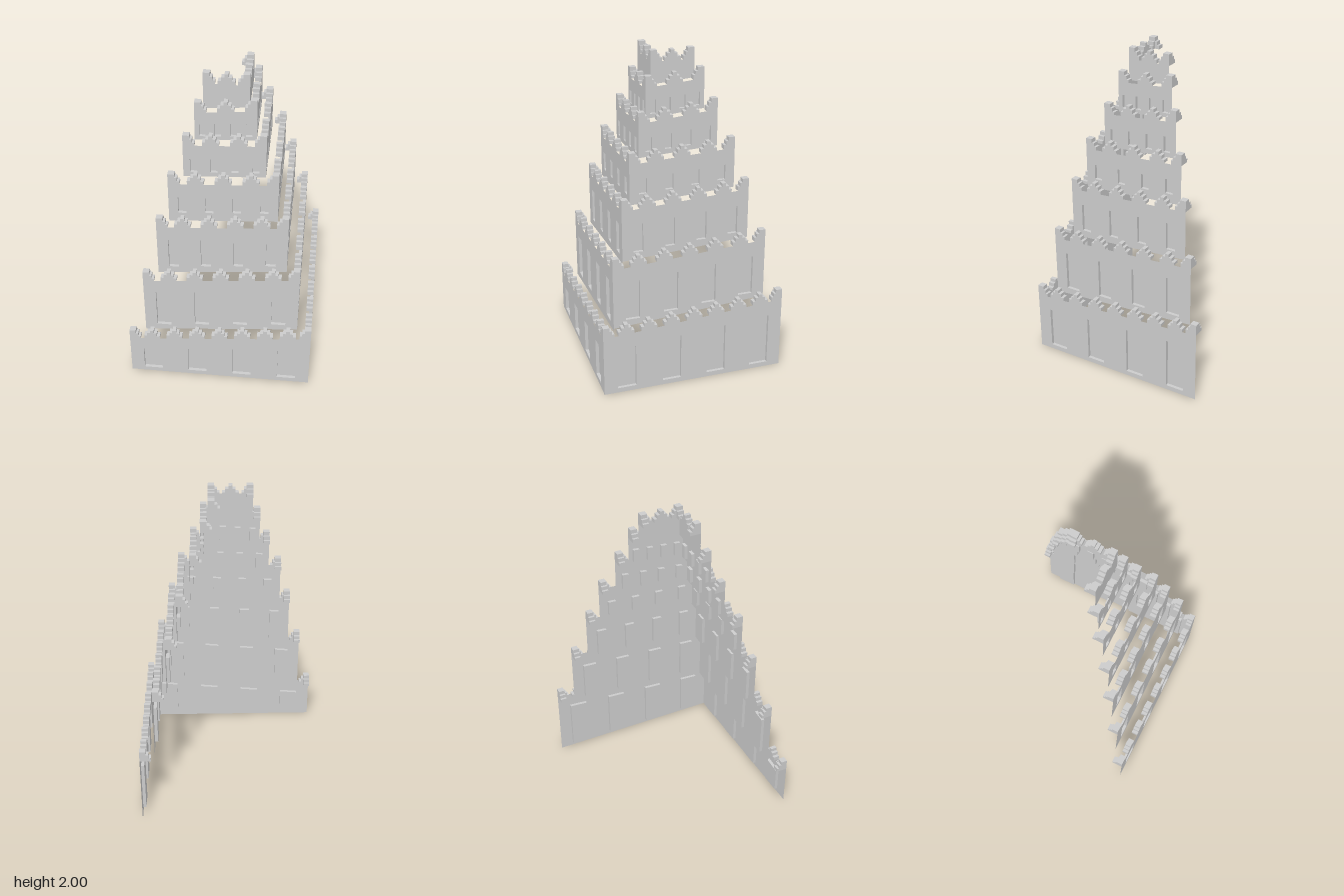
import * as THREE from 'three';

const material = new THREE.MeshStandardMaterial({ color: 0xcccccc, side: THREE.DoubleSide });
const THICK = 0.04; // depth of the battlements
const RECESS = 0.02; // depth of the windows

// half: half width; left, corner, end: wall top at the three corners as the ramp climbs
// win: window width; sill: gap below the windows; head: gap above them; merlons: count between corners
const TIERS = [
  { half: 0.575, left: 0.28, corner: 0.39, end: 0.468, win: 0.118, sill: 0.03, head: 0.095, merlons: 7 },
  { half: 0.485, left: 0.70, corner: 0.79, end: 0.85, win: 0.09, sill: 0.04, head: 0.097, merlons: 5 },
  { half: 0.40, left: 1.065, corner: 1.12, end: 1.165, win: 0.062, sill: 0.045, head: 0.098, merlons: 4 },
  { half: 0.33, left: 1.345, corner: 1.38, end: 1.415, win: 0.05, sill: 0.06, head: 0.1, merlons: 3 },
  { half: 0.247, left: 1.57, corner: 1.595, end: 1.64, win: 0.042, sill: 0.03, head: 0.095, merlons: 2 },
  { half: 0.183, left: 1.76, corner: 1.79, end: 1.82, win: 0.038, sill: 0.025, head: 0.08, merlons: 1 },
  { half: 0.136, left: 1.93, corner: 1.93, end: 1.93, win: 0, sill: 0, head: 0, merlons: 1 },
];

const toShape = (pts) => new THREE.Shape(pts.map(([x, y]) => new THREE.Vector2(x, y)));

function addMesh(parent, geometry, name) {
  const mesh = new THREE.Mesh(geometry, material);
  mesh.name = name;
  parent.add(mesh);
}

// Solid battlement with its outer face on the wall plane
function addBattlement(parent, pts, half, name) {
  const geo = new THREE.ExtrudeGeometry(toShape(pts), { depth: THICK, bevelEnabled: false });
  geo.translate(0, 0, half - THICK);
  addMesh(parent, geo, name);
}

// Stepped merlon standing on the sloping wall top
function addMerlon(parent, x, line, half) {
  const y = line(x);
  const steps = [[0.05, 0.022], [0.031, 0.045], [0.012, 0.066]];
  const up = [];
  const down = [];
  let previous = null;
  for (const [w, h] of steps) {
    const low = previous;
    up.push([x - w, low === null ? line(x - w) : y + low], [x - w, y + h]);
    down.unshift([x + w, y + h], [x + w, low === null ? line(x + w) : y + low]);
    previous = h;
  }
  addBattlement(parent, [...up, ...down], half, 'merlon');
}

// Half merlon stepping down from a corner; the return omits the shared corner block
function addCorner(parent, side, line, half, isReturn) {
  const y = line(side * half);
  const at = (d, h) => [side * (half - d), h === 0 ? line(side * (half - d)) : y + h];
  const pts = isReturn
    ? [at(0.04, 0), at(0.04, 0.046)]
    : [at(0, 0), at(0, 0.07), at(0.04, 0.07), at(0.04, 0.046)];
  pts.push(at(0.055, 0.046), at(0.055, 0.023), at(0.07, 0.023), at(0.07, 0));
  addBattlement(parent, pts, half, 'cornerMerlon');
}

// Open box behind a window hole: four reveals and a back panel
function recessGeometry(corners, z) {
  const pos = [];
  const quad = (a, b, c, d) => pos.push(...a, ...b, ...c, ...a, ...c, ...d);
  const front = corners.map(([x, y]) => [x, y, z]);
  const back = corners.map(([x, y]) => [x, y, z - RECESS]);
  for (let i = 0; i < 4; i++) {
    const j = (i + 1) % 4;
    quad(front[i], back[i], back[j], front[j]);
  }
  quad(...back);
  const geo = new THREE.BufferGeometry();
  geo.setAttribute('position', new THREE.Float32BufferAttribute(pos, 3));
  geo.computeVertexNormals();
  return geo;
}

// One sloping wall, facing +z, with recessed windows and battlements
function makeWall(tier, top, bottom, name, firstIsReturn) {
  const wall = new THREE.Group();
  wall.name = name;
  const h = tier.half;
  const shape = toShape([[-h, bottom(-h)], [h, bottom(h)], [h, top(h)], [-h, top(-h)]]);

  if (tier.win > 0) {
    for (let i = 0; i < 4; i++) {
      const x = h * (-0.75 + 0.5 * i);
      const x0 = x - tier.win / 2;
      const x1 = x + tier.win / 2;
      const sill = bottom(x) + tier.sill;
      const corners = [[x0, sill], [x1, sill], [x1, top(x1) - tier.head], [x0, top(x0) - tier.head]];
      shape.holes.push(new THREE.Path(corners.map(([a, b]) => new THREE.Vector2(a, b))));
      addMesh(wall, recessGeometry(corners, h), 'windowRecess');
    }
  }

  const face = new THREE.ShapeGeometry(shape);
  face.translate(0, 0, h);
  addMesh(wall, face, 'wallFace');

  const gap = (2 * h) / (tier.merlons + 1);
  for (let i = 1; i <= tier.merlons; i++) addMerlon(wall, -h + gap * i, top, h);
  addCorner(wall, -1, top, h, firstIsReturn);
  addCorner(wall, 1, top, h, false);
  return wall;
}

// Short battlement return at an open wall end
function makeReturn(tier, side, y, angle) {
  const group = new THREE.Group();
  group.name = 'battlementReturn';
  addCorner(group, side, () => y, tier.half, true);
  group.rotation.y = angle;
  return group;
}

export function createModel() {
  const model = new THREE.Group();
  model.name = 'spiralTower';
  // Each tier starts on the ramp line of the tier below
  let frontBase = () => 0;
  let sideBase = () => 0;

  TIERS.forEach((tier, i) => {
    const group = new THREE.Group();
    group.name = `tier${i + 1}`;
    const slope = (a, b) => (x) => a + ((b - a) * (x + tier.half)) / (2 * tier.half);
    const frontTop = slope(tier.left, tier.corner);
    const sideTop = slope(tier.corner, tier.end);

    const front = makeWall(tier, frontTop, frontBase, 'frontWall', false);
    const side = makeWall(tier, sideTop, sideBase, 'leftWall', true);
    side.rotation.y = Math.PI / 2;
    group.add(front, side);
    group.add(makeReturn(tier, 1, tier.left, -Math.PI / 2));
    group.add(makeReturn(tier, -1, tier.end, Math.PI));

    model.add(group);
    frontBase = frontTop;
    sideBase = sideTop;
  });
  return model;
}
